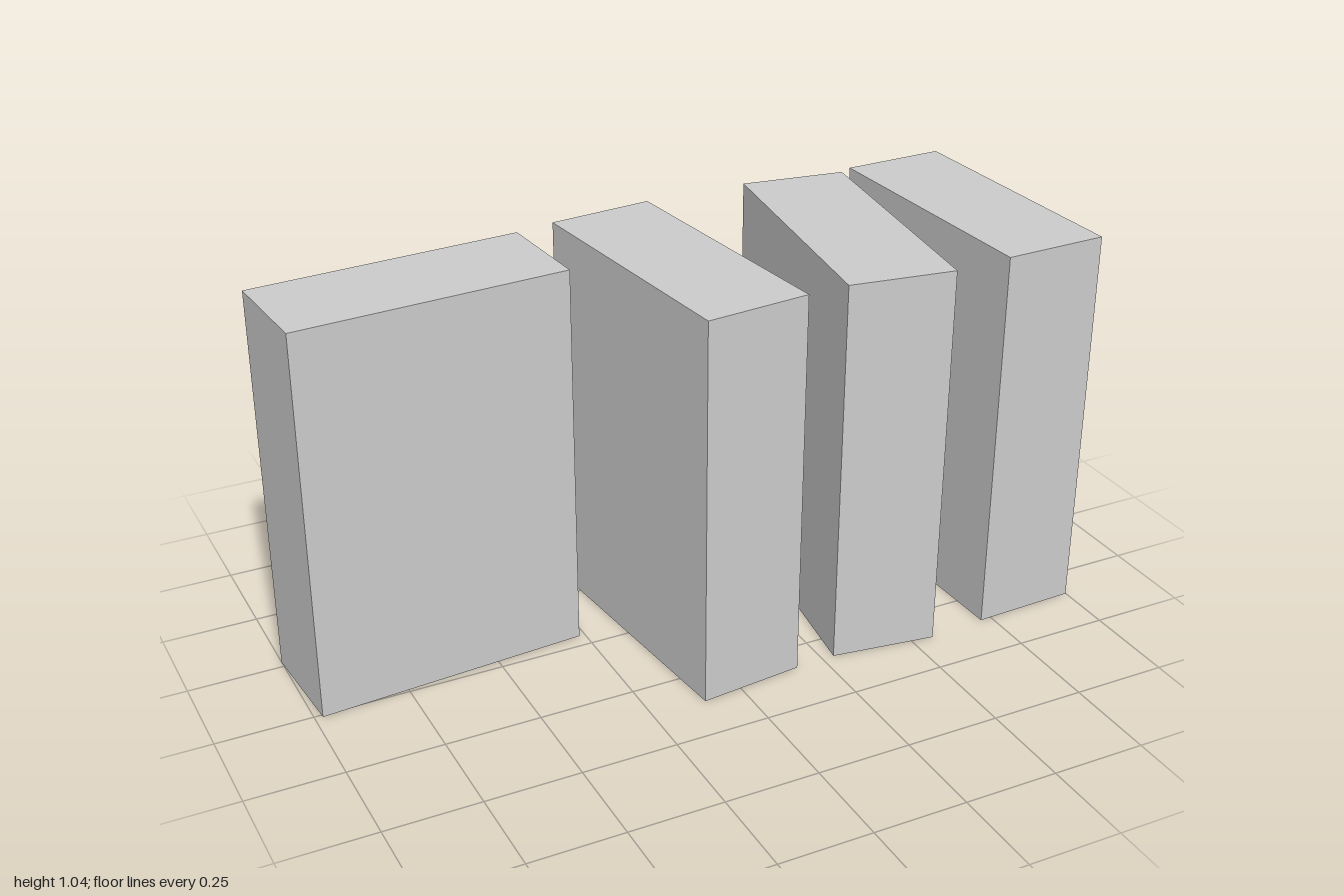
import * as THREE from 'three';

// Four identical upright slabs standing in a loose row
const WIDTH = 0.28, HEIGHT = 1.036, DEPTH = 0.716;

export function createModel() {
  const model = new THREE.Group();
  model.name = 'standingBlocks';
  const material = new THREE.MeshStandardMaterial({ color: 0xcccccc, flatShading: true });
  const geometry = new THREE.BoxGeometry(WIDTH, HEIGHT, DEPTH);

  // name, x, z, turn about the vertical axis
  const blocks = [
    ['sidewaysBlock', -0.633, -0.157, Math.PI / 2 + 0.074],
    ['centreBlock', -0.004, -0.003, 0.105],
    ['slantedBlock', 0.47, -0.002, -0.137],
    ['endBlock', 0.846, -0.003, 0.037],
  ];
  for (const [name, x, z, turn] of blocks) {
    const block = new THREE.Mesh(geometry, material);
    block.name = name;
    block.position.set(x, HEIGHT / 2, z);
    block.rotation.y = turn;
    model.add(block);
  }
  return model;
}
